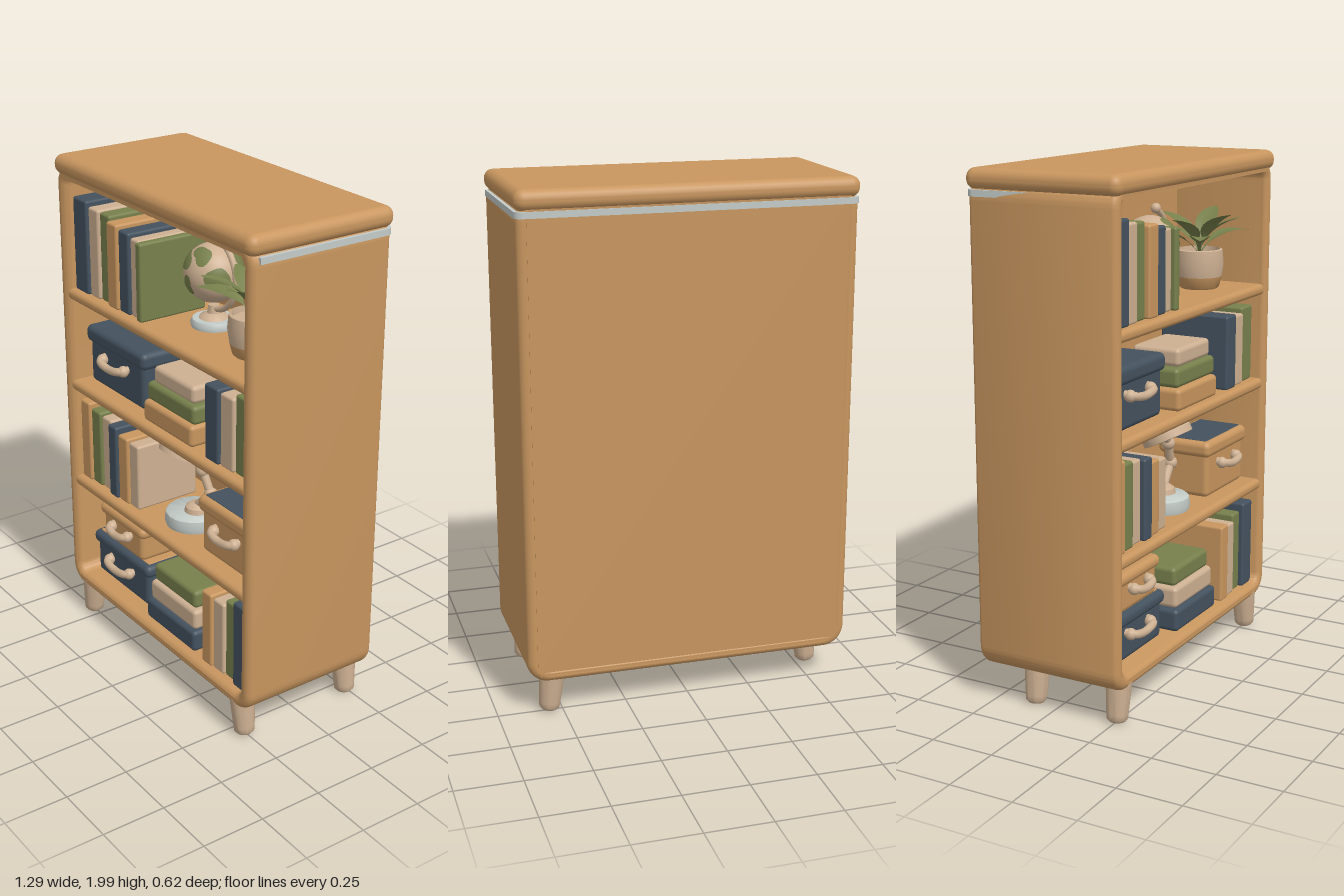
import * as THREE from 'three';
import { toCreasedNormals } from 'three/addons/utils/BufferGeometryUtils.js';
import { RoundedBoxGeometry } from 'three/addons/geometries/RoundedBoxGeometry.js';

const mat = (name, color, side = THREE.FrontSide) => {
  const m = new THREE.MeshStandardMaterial({ color, side });
  m.name = name;
  return m;
};

export function createModel() {
  const root = new THREE.Group();
  const wood = mat('wood', 0xc8965f), beige = mat('beige', 0xcdb092), navy = mat('navy', 0x44525f);
  const green = mat('green', 0x77804c, THREE.DoubleSide), pale = mat('paleGrey', 0xc3cbc7);

  const add = (name, geo, m, x = 0, y = 0, z = 0, parent = root) => {
    const mesh = new THREE.Mesh(geo, m);
    mesh.name = name;
    mesh.position.set(x, y, z);
    parent.add(mesh);
    return mesh;
  };
  const group = (name, x = 0, y = 0, z = 0) => {
    const g = new THREE.Group();
    g.name = name;
    g.position.set(x, y, z);
    root.add(g);
    return g;
  };
  // Rounded block given by its limits
  const block = (name, m, x0, x1, y0, y1, z0, z1, r = 0.012, parent = root) =>
    add(name, new RoundedBoxGeometry(x1 - x0, y1 - y0, z1 - z0, 3, r), m,
      (x0 + x1) / 2, (y0 + y1) / 2, (z0 + z1) / 2, parent);
  const tube = (name, m, pts, r, parent = root) =>
    add(name, new THREE.TubeGeometry(new THREE.CatmullRomCurve3(pts.map(p => new THREE.Vector3(...p))), 20, r, 10), m, 0, 0, 0, parent);
  const lathe = (name, m, pts, x, y, z, parent = root) =>
    add(name, toCreasedNormals(new THREE.LatheGeometry(pts.map(p => new THREE.Vector2(...p)), 28), 0.7), m, x, y, z, parent);
  const roundRect = (s, x0, x1, y0, y1, r) => {
    s.absarc(x1 - r, y0 + r, r, -Math.PI / 2, 0);
    s.absarc(x1 - r, y1 - r, r, 0, Math.PI / 2);
    s.absarc(x0 + r, y1 - r, r, Math.PI / 2, Math.PI);
    s.absarc(x0 + r, y0 + r, r, Math.PI, Math.PI * 1.5);
    s.closePath();
    return s;
  };

  // Carcass: rounded frame, deep back, top slab
  const frame = roundRect(new THREE.Shape(), -0.638, 0.638, 0.14, 1.97, 0.085);
  frame.holes.push(roundRect(new THREE.Path(), -0.578, 0.578, 0.195, 1.92, 0.04));
  const bevel = 0.03;
  const frameGeo = new THREE.ExtrudeGeometry(frame, {
    depth: 0.6 - 2 * bevel, bevelThickness: bevel, bevelSize: bevel, bevelOffset: -bevel, bevelSegments: 5, curveSegments: 10,
  });
  add('carcass', toCreasedNormals(frameGeo, 0.6), wood, 0, 0, -0.3 + bevel);
  add('backPanel', new THREE.BoxGeometry(1.2, 1.74, 0.2), wood, 0, 1.055, -0.201);
  block('topSlab', wood, -0.643, 0.643, 1.922, 2.0, -0.312, 0.312, 0.036);

  // Pale seam running round the sides and back, below the top
  const seam = new THREE.Shape();
  seam.moveTo(-0.642, -0.27);
  seam.absarc(-0.61, 0.272, 0.032, Math.PI, Math.PI / 2, true);
  seam.absarc(0.61, 0.272, 0.032, Math.PI / 2, 0, true);
  for (const p of [[0.642, -0.27], [0.61, -0.27], [0.61, 0.27], [-0.61, 0.27], [-0.61, -0.27]]) seam.lineTo(...p);
  const seamGeo = new THREE.ExtrudeGeometry(seam, { depth: 0.024, bevelEnabled: false });
  seamGeo.rotateX(-Math.PI / 2);
  add('seam', seamGeo, pale, 0, 1.9, 0);

  for (const y of [1.42, 1.03, 0.6]) block('shelf', wood, -0.6, 0.6, y, y + 0.045, -0.12, 0.293, 0.02);

  // Tapered legs, one back leg set further forward
  for (const [x, z] of [[0.54, 0.25], [-0.54, 0.25], [0.54, -0.24], [-0.54, -0.1]]) {
    const leg = lathe('leg', beige, [[0, 0], [0.03, 0], [0.039, 0.01], [0.041, 0.03], [0.05, 0.16], [0, 0.16]], x + Math.sign(x) * 0.01, 0.008, z);
    leg.rotation.z = Math.sign(x) * 0.1;
  }

  // Upright books: [left, right, top, colour]
  const row = (y, books) => books.forEach(([x0, x1, top, m], i) =>
    block('book', m, x0, x1, y, top, -0.03, 0.265 - (i % 3) * 0.008, 0.01));
  row(1.463, [[-0.575, -0.478, 1.84, navy], [-0.476, -0.407, 1.82, beige], [-0.405, -0.337, 1.815, green],
    [-0.335, -0.265, 1.8, wood], [-0.263, -0.194, 1.785, navy], [-0.192, -0.137, 1.77, beige], [-0.135, -0.1, 1.77, green]]);
  row(1.073, [[0.31, 0.393, 1.37, navy], [0.395, 0.475, 1.36, beige], [0.477, 0.573, 1.38, green]]);
  row(0.643, [[-0.575, -0.507, 0.99, wood], [-0.505, -0.437, 0.97, green], [-0.435, -0.367, 0.96, beige],
    [-0.365, -0.307, 0.955, navy], [-0.305, -0.237, 0.93, wood], [-0.235, -0.17, 0.92, beige]]);
  row(0.193, [[0.287, 0.35, 0.51, wood], [0.352, 0.42, 0.5, beige], [0.422, 0.488, 0.525, green], [0.49, 0.574, 0.555, navy]]);

  // Lying stacks
  const stack = (y, books) => books.forEach(([x0, x1, h, m], i) => {
    block('stackedBook', m, x0, x1, y, y + h, 0.04, 0.265 - i * 0.012, 0.018);
    y += h;
  });
  stack(1.073, [[-0.1, 0.225, 0.087, wood], [-0.09, 0.225, 0.075, green], [-0.06, 0.205, 0.07, beige]]);
  stack(0.195, [[-0.105, 0.235, 0.09, navy], [-0.09, 0.225, 0.085, beige], [-0.08, 0.21, 0.075, green]]);

  // Storage boxes with lid and bar handle
  const storage = (name, m, x0, x1, y0, y1, lidH, lidTop) => {
    const g = group(name), z1 = 0.235, xc = (x0 + x1) / 2, w = (x1 - x0) * 0.2;
    block('body', m, x0 + 0.015, x1 - 0.015, y0, y1 - 0.02, 0.02, z1 - 0.012, 0.022, g);
    block('lid', m, x0, x1, y1 - lidH, y1, 0.005, z1, 0.024, g);
    if (lidTop) block('lidTop', lidTop, x0 + 0.025, x1 - 0.025, y1 - 0.004, y1 + 0.003, 0.03, z1 - 0.025, 0.003, g);
    const hy = y0 + (y1 - y0 - lidH) * 0.72;
    tube('handle', beige, [[xc - w, hy + 0.015, z1 - 0.02], [xc - w * 0.85, hy + 0.008, z1 + 0.018],
      [xc, hy - 0.003, z1 + 0.025], [xc + w * 0.85, hy + 0.008, z1 + 0.018], [xc + w, hy + 0.015, z1 - 0.02]], 0.016, g);
    for (const s of [-1, 1]) add('handleKnob', new THREE.SphereGeometry(0.023, 14, 10), beige, xc + s * w * 0.9, hy + 0.008, z1 + 0.004, g);
  };
  storage('largeBox', navy, -0.565, -0.143, 1.073, 1.312, 0.07);
  storage('rightBox', wood, 0.215, 0.574, 0.643, 0.875, 0.065, navy);
  storage('lowerBox', navy, -0.56, -0.14, 0.195, 0.385, 0.055, wood);
  storage('smallBox', wood, -0.505, -0.18, 0.385, 0.54, 0.05);

  // Globe: ball, land patches, arc and stand
  const globe = group('globe', 0.065, 1.67, 0.05);
  add('ball', new THREE.SphereGeometry(0.112, 32, 20), beige, 0, 0, 0, globe);
  const land = (lon, lat, size, seed) => {
    const geo = new THREE.RingGeometry(0, 1, 24, 4), p = geo.attributes.position, v = new THREE.Vector3();
    for (let i = 0; i < p.count; i++) {
      const a = Math.atan2(p.getY(i), p.getX(i));
      const k = size * (1 + 0.22 * Math.sin(2 * a + seed) + 0.15 * Math.sin(3 * a + seed * 2));
      v.set(p.getX(i) * k, p.getY(i) * k, 1).normalize().multiplyScalar(0.1145);
      p.setXYZ(i, v.x, v.y, v.z);
    }
    geo.computeVertexNormals();
    const m = add('land', geo, green, 0, 0, 0, globe);
    m.rotation.set(-lat, lon, 0, 'YXZ');
  };
  [[-0.55, 0.45, 0.42, 1], [0.35, 0.85, 0.36, 3], [-0.1, -0.3, 0.3, 5], [1.1, 0.1, 0.4, 2], [2.4, 0.3, 0.5, 4], [-1.8, -0.1, 0.4, 6]]
    .forEach(l => land(...l));
  const arc = add('arc', new THREE.TorusGeometry(0.138, 0.012, 10, 32, Math.PI * 0.92), beige, 0, 0, 0, globe);
  arc.rotation.z = -Math.PI / 2;
  add('arcKnob', new THREE.SphereGeometry(0.02, 14, 10), beige, 0.045, 0.134, 0, globe);
  lathe('stand', beige, [[0.06, -0.18], [0.05, -0.165], [0.025, -0.155], [0.02, -0.125], [0, -0.125]], 0, 0, 0, globe);
  lathe('base', pale, [[0, -0.207], [0.085, -0.207], [0.088, -0.19], [0.08, -0.175], [0, -0.172]], 0, 0, 0, globe);

  // Potted plant
  const plant = group('plant', 0.385, 1.463, 0.1);
  lathe('potFoot', wood, [[0, 0], [0.07, 0], [0.08, 0.01], [0.09, 0.05]], 0, 0, 0, plant);
  lathe('pot', beige, [[0.09, 0.05], [0.097, 0.1], [0.092, 0.155], [0.082, 0.158], [0.08, 0.135], [0, 0.135]], 0, 0, 0, plant);
  const leafGeo = (len, width) => {
    const geo = new THREE.PlaneGeometry(1, 1, 4, 10), p = geo.attributes.position;
    for (let i = 0; i < p.count; i++) {
      const t = p.getY(i) + 0.5, s = p.getX(i) * 2;
      const w = 0.006 + width * Math.sin(Math.PI * Math.max(0, (t - 0.3) / 0.7)) ** 0.75;
      const a = t * 1.15; // stalk rises, blade arches outward
      p.setXYZ(i, s * w, len * Math.sin(a) * 0.95, len * (1 - Math.cos(a)) * 1.25 - Math.abs(s) * w * 0.3);
    }
    geo.computeVertexNormals();
    return geo;
  };
  for (let i = 0; i < 9; i++) {
    const leaf = add('leaf', leafGeo(0.2 + (i % 3) * 0.015, 0.036), green, 0, 0.13, 0, plant);
    leaf.rotation.set(i % 2 ? 0.5 : 0.12, i * Math.PI * 2 / 9 + 0.3, 0, 'YXZ');
  }

  // Desk lamp
  const lamp = group('lamp', 0.03, 0.643, 0.12);
  lathe('lampBase', pale, [[0, 0], [0.11, 0], [0.115, 0.02], [0.11, 0.052], [0.1, 0.06], [0, 0.06]], 0, 0, 0, lamp);
  lathe('lampSocket', beige, [[0.05, 0.058], [0.045, 0.08], [0.025, 0.095], [0, 0.095]], 0.02, 0, 0, lamp);
  const joints = [[0.02, 0.08, 0], [0.1, 0.16, -0.01], [0.06, 0.25, 0], [0, 0.33, 0.01]];
  for (let i = 0; i < 3; i++) tube('arm', beige, [joints[i], joints[i + 1]], 0.017, lamp);
  for (const j of joints.slice(1, 3)) add('joint', new THREE.SphereGeometry(0.027, 14, 10), beige, ...j, lamp);
  const head = lathe('shade', beige, [[0.088, -0.024], [0.1, -0.022], [0.1, 0.005], [0.075, 0.03], [0.035, 0.045], [0, 0.047]], -0.015, 0.31, 0.03, lamp);
  head.rotation.x = -0.45;
  const glass = add('lampGlass', new THREE.CircleGeometry(0.089, 28), pale, 0, -0.023, 0, head);
  glass.rotation.x = Math.PI / 2;

  return root;
}
